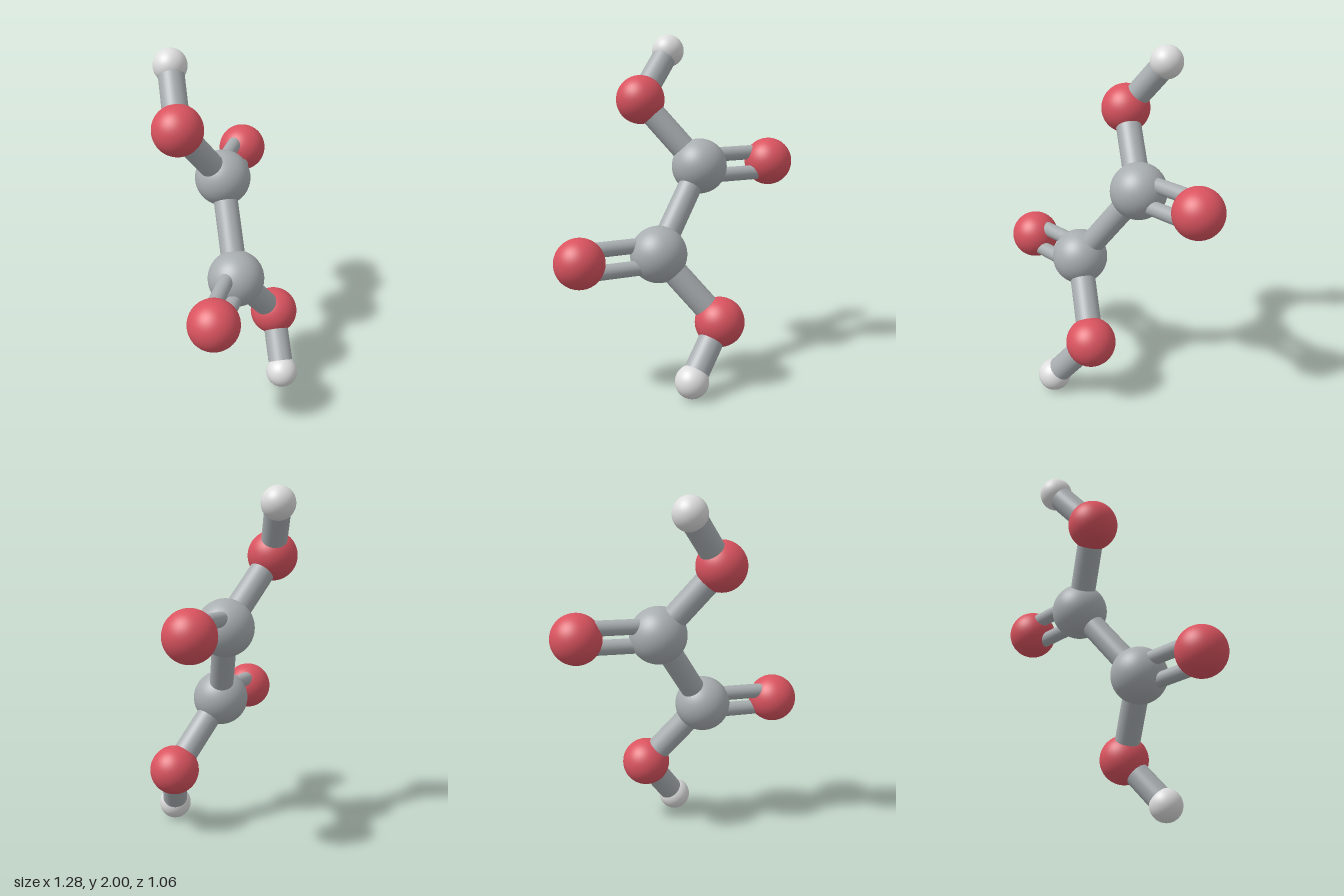
import * as THREE from 'three';

const material = (name, color) => {
  const m = new THREE.MeshStandardMaterial({ color });
  m.name = name;
  return m;
};

export function createModel() {
  const model = new THREE.Group();
  model.name = 'molecule';
  const grey = material('grey', 0xa8adb0);
  const red = material('red', 0xd9535f);
  const white = material('white', 0xdedede);

  const atom = (name, position, radius, mat) => {
    const mesh = new THREE.Mesh(new THREE.SphereGeometry(radius, 48, 32), mat);
    mesh.name = name;
    mesh.position.copy(position);
    model.add(mesh);
  };

  // Round rod between two points
  const bond = (name, a, b, radius) => {
    const dir = b.clone().sub(a);
    const mesh = new THREE.Mesh(new THREE.CylinderGeometry(radius, radius, dir.length(), 32), grey);
    mesh.name = name;
    mesh.position.copy(a).add(b).multiplyScalar(0.5);
    mesh.quaternion.setFromUnitVectors(new THREE.Vector3(0, 1, 0), dir.normalize());
    model.add(mesh);
  };

  // Both halves mirror each other through the point (0, 1, 0)
  const carbons = [];
  for (const [half, s] of [['upper', 1], ['lower', -1]]) {
    const at = (x, y, z) => new THREE.Vector3(s * x, 1 + s * y, s * z);
    const carbon = at(0.1, 0.234, -0.155);
    const doubleOxygen = at(0.5, 0.243, -0.39);
    const singleOxygen = at(-0.247, 0.621, -0.142);
    const hydrogen = at(-0.11, 0.905, -0.345);
    carbons.push(carbon);

    atom(half + 'Carbon', carbon, 0.162, grey);
    atom(half + 'DoubleOxygen', doubleOxygen, 0.142, red);
    atom(half + 'SingleOxygen', singleOxygen, 0.142, red);
    atom(half + 'Hydrogen', hydrogen, 0.095, white);

    bond(half + 'SingleBond', carbon, singleOxygen, 0.073);
    bond(half + 'HydrogenBond', singleOxygen, hydrogen, 0.073);

    // Double bond: two thin rods spread within the plane of the atoms
    const along = doubleOxygen.clone().sub(carbon).normalize();
    const spread = singleOxygen.clone().sub(carbon);
    spread.addScaledVector(along, -spread.dot(along)).setLength(0.063);
    for (const side of [1, -1]) {
      const shift = spread.clone().multiplyScalar(side);
      bond(half + 'DoubleBond', carbon.clone().add(shift), doubleOxygen.clone().add(shift), 0.043);
    }
  }
  bond('centralBond', carbons[0], carbons[1], 0.07);

  return model;
}
